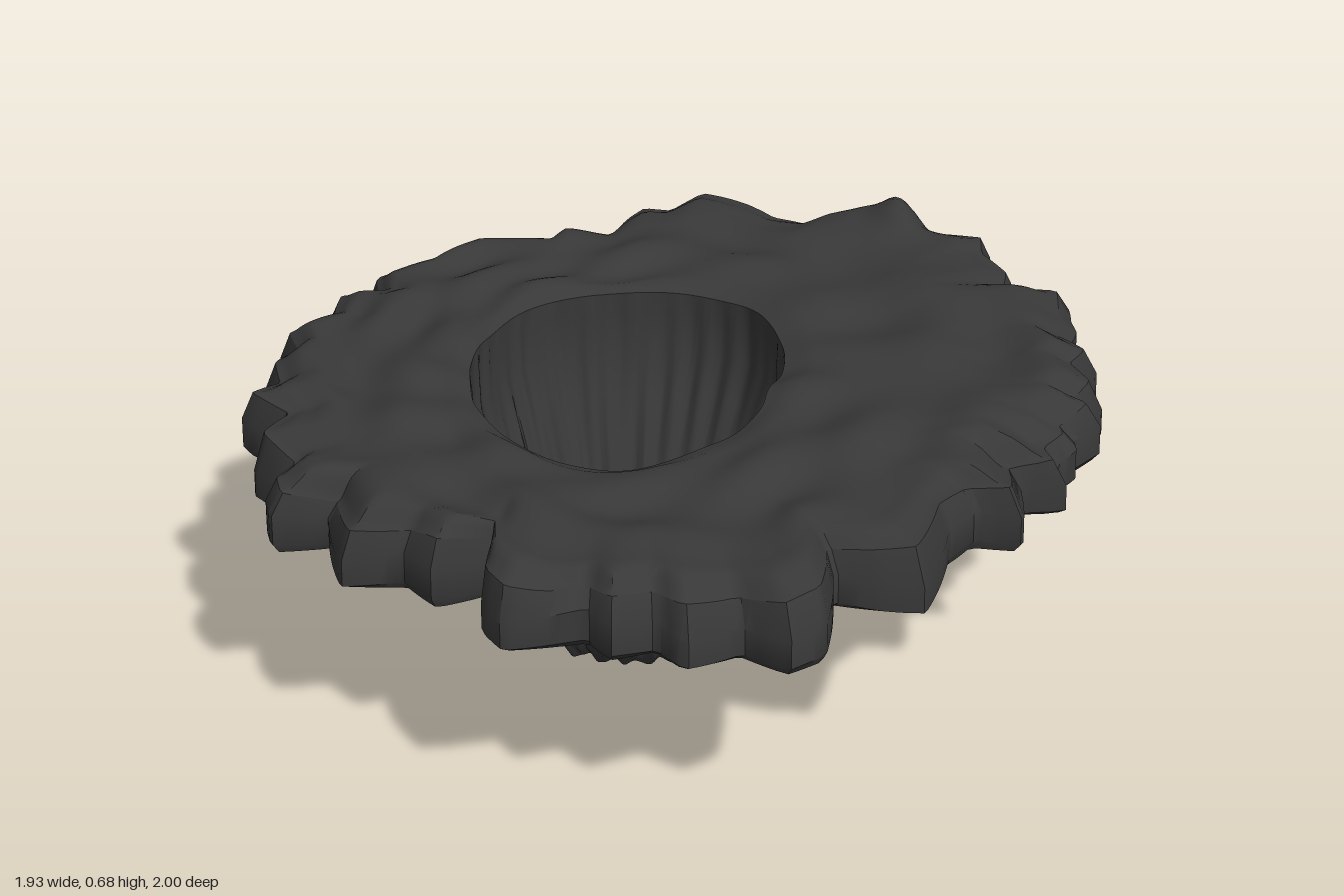
import * as THREE from 'three';
import { toCreasedNormals } from 'three/addons/utils/BufferGeometryUtils.js';

const COLUMNS = 360;
const CX = -0.11, CZ = 0.03; // centre of the crater mouth
const TAU = Math.PI * 2;

// jagged outer edge, x and z pairs
const EDGE = [
  0.01, -1, 0.13, -0.95, 0.2, -0.9, 0.3, -0.88, 0.38, -0.93, 0.47, -0.95, 0.56, -0.87, 0.6, -0.82,
  0.73, -0.78, 0.73, -0.71, 0.79, -0.62, 0.78, -0.55, 0.91, -0.52, 0.91, -0.42, 0.92, -0.36, 0.9, -0.3,
  0.96, -0.19, 0.92, -0.13, 0.96, -0.02, 0.92, 0.05, 0.95, 0.08, 0.88, 0.17, 0.89, 0.2, 0.84, 0.26,
  0.86, 0.33, 0.76, 0.34, 0.76, 0.49, 0.66, 0.48, 0.6, 0.57, 0.55, 0.76, 0.46, 0.76, 0.36, 0.74,
  0.35, 0.95, 0.28, 1, 0.18, 0.94, 0.07, 1, 0.01, 0.94, -0.08, 0.98, -0.13, 0.92, -0.3, 0.95,
  -0.35, 0.88, -0.35, 0.73, -0.46, 0.79, -0.53, 0.72, -0.66, 0.73, -0.71, 0.57, -0.83, 0.59, -0.85, 0.53,
  -0.82, 0.45, -0.91, 0.36, -0.87, 0.24, -0.97, 0.17, -0.92, 0.08, -0.95, -0.02, -0.91, -0.1, -0.94, -0.16,
  -0.85, -0.26, -0.85, -0.39, -0.76, -0.42, -0.78, -0.5, -0.66, -0.57, -0.56, -0.7, -0.37, -0.7, -0.34, -0.78,
  -0.22, -0.8, -0.18, -0.89, -0.14, -0.94, -0.07, -0.93,
];
// egg-shaped crater mouth
const MOUTH = [
  0, -0.4, 0.15, -0.33, 0.22, -0.18, 0.2, 0.08, 0.08, 0.34, -0.09, 0.46,
  -0.26, 0.41, -0.4, 0.26, -0.46, 0.08, -0.44, -0.16, -0.35, -0.32, -0.18, -0.38,
];

// radius at every column, read from an outline by angle around the mouth centre
function radii(points) {
  const polar = [];
  for (let i = 0; i < points.length; i += 2) {
    const x = points[i] - CX, z = points[i + 1] - CZ;
    polar.push([(Math.atan2(z, x) + TAU) % TAU, Math.hypot(x, z)]);
  }
  polar.sort((a, b) => a[0] - b[0]);
  const last = polar[polar.length - 1], first = polar[0];
  const ring = [[last[0] - TAU, last[1]], ...polar, [first[0] + TAU, first[1]]];
  return Array.from({ length: COLUMNS }, (_, j) => {
    const a = (j / COLUMNS) * TAU;
    const k = ring.findIndex((p) => p[0] > a);
    const [p, q] = [ring[k - 1], ring[k]];
    return THREE.MathUtils.lerp(p[1], q[1], (a - p[0]) / Math.max(q[0] - p[0], 1e-5));
  });
}

function smooth(list, width) {
  return list.map((_, j) => {
    let sum = 0;
    for (let d = -width; d <= width; d++) sum += list[(j + d + COLUMNS) % COLUMNS];
    return sum / (2 * width + 1);
  });
}

// closed rings of points, running from the outside inwards
function loft(name, rows, point, material, crease) {
  const positions = [], index = [];
  for (let i = 0; i < rows; i++) {
    for (let j = 0; j < COLUMNS; j++) positions.push(...point(i, j, (j / COLUMNS) * TAU));
  }
  for (let i = 0; i < rows - 1; i++) {
    for (let j = 0; j < COLUMNS; j++) {
      const k = (j + 1) % COLUMNS;
      const a = i * COLUMNS + j, b = i * COLUMNS + k;
      const c = a + COLUMNS, d = b + COLUMNS;
      index.push(a, c, b, b, c, d);
    }
  }
  const geometry = new THREE.BufferGeometry();
  geometry.setAttribute('position', new THREE.Float32BufferAttribute(positions, 3));
  geometry.setIndex(index);
  const mesh = new THREE.Mesh(toCreasedNormals(geometry, crease), material);
  mesh.name = name;
  return mesh;
}

export function createModel() {
  const rock = new THREE.MeshStandardMaterial({ color: 0x383838, side: THREE.DoubleSide });
  rock.name = 'dark rock';
  const { lerp, smoothstep } = THREE.MathUtils;
  const edge = radii(EDGE), softEdge = smooth(edge, 9);
  const mouth = smooth(radii(MOUTH), 6);
  const place = (r, y, a) => [CX + r * Math.cos(a), y, CZ + r * Math.sin(a)];

  // rolling swirls on the top, a small peak at the back, teeth bevelled down at the edge
  function topPoint(t, j, a) {
    const r = lerp(mouth[j], lerp(softEdge[j], edge[j] * 0.965, t * t), t);
    const [x, , z] = place(r, 0, a);
    const swirl = 0.008 * Math.sin(6 * a + 9 * t + Math.sin(3 * a))
      + 0.007 * Math.sin(11 * a - 10 * t + 2 * Math.sin(2 * a + 4 * t))
      + 0.005 * Math.sin(17 * t + 3 * a);
    const calm = 0.35 + 0.65 * smoothstep(t, 0, 0.25);
    const peak = 0.06 * Math.exp(-((x - 0.5) ** 2) / 0.003 - ((z + 0.82) ** 2) / 0.008);
    const lip = 0.016 * (1 - smoothstep(t, 0, 0.08));
    const drop = 0.03 * smoothstep(t, 0.85, 1);
    const tooth = 0.2 * (edge[j] - softEdge[j]) * smoothstep(t, 0.6, 0.9);
    return [x, 0.627 + swirl * calm + peak + tooth - lip - drop, z];
  }

  const group = new THREE.Group();
  group.name = 'crater';

  // toothed outer wall, open underneath
  const wall = [[0.46, 0.985], [0.475, 1], [0.54, 0.998]];
  group.add(loft('outerWall', 4, (i, j, a) => {
    if (i === 3) return topPoint(1, j, a);
    const wobble = i === 0 ? 0.004 * Math.sin(9 * a) : 0.007 * i * Math.sin(13 * a);
    return place(edge[j] * wall[i][1], wall[i][0] + wobble, a);
  }, rock, 0.6));

  // rolling top
  const topRows = 29;
  group.add(loft('topSurface', topRows, (i, j, a) => topPoint(1 - i / (topRows - 1), j, a), rock, 0.7));

  // ribbed throat: height, and how far the mouth has narrowed to the foot
  const throat = [[0, 0], [0.56, 0], [0.46, 0.02], [0.37, 0.2], [0.28, 0.4], [0.19, 0.62],
    [0.1, 0.8], [0.045, 0.95], [0.012, 1.15], [0.02, 1.5]];
  group.add(loft('throat', throat.length, (i, j, a) => {
    if (i === 0) return topPoint(0, j, a);
    const [y, f] = throat[i];
    const rib = Math.sin(29 * a + 2 * Math.sin(5 * a) + 4 * y) + 0.6 * Math.sin(47 * a + 3 * Math.sin(3 * a) - 6 * y);
    const foot = 0.262 + 0.012 * Math.cos(a) + 0.01 * Math.sin(a);
    const r = f <= 1 ? lerp(mouth[j], foot, f) : foot - (f - 1) * 0.13;
    const depth = i < 3 ? 0.003 : 0.006;
    const ragged = i > 7 ? 0.006 * Math.sin(23 * a + 2 * Math.sin(4 * a)) : 0;
    return place(r + depth * rib, y + ragged, a);
  }, rock, 0.6));

  return group;
}
